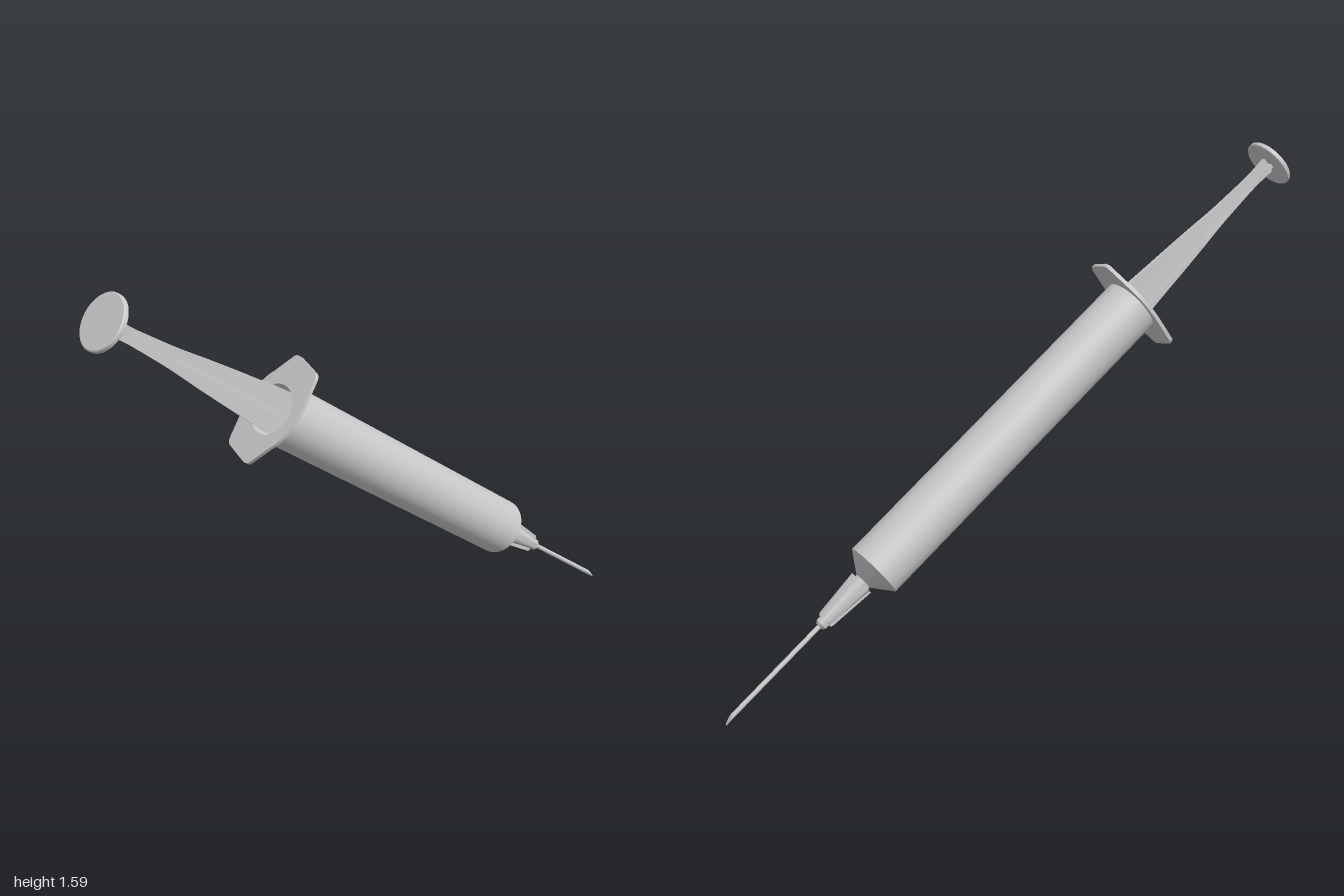
import * as THREE from 'three';
import { toCreasedNormals } from 'three/addons/utils/BufferGeometryUtils.js';

const V = (x, y) => new THREE.Vector2(x, y);
const material = new THREE.MeshStandardMaterial({ color: 0xcccccc, side: THREE.DoubleSide });

function part(name, geometry, parent) {
  const mesh = new THREE.Mesh(toCreasedNormals(geometry, 0.6), material);
  mesh.name = name;
  parent.add(mesh);
  return mesh;
}

// Turned part: profile of [radius, distance from the needle tip]
function turned(name, profile, parent, segments = 40) {
  return part(name, new THREE.LatheGeometry(profile.map(p => V(p[0], p[1])), segments), parent);
}

// Flat plate of given thickness, centred on its plane
function plate(shape, thickness, curveSegments = 12) {
  const g = new THREE.ExtrudeGeometry(shape, { depth: thickness, bevelEnabled: false, curveSegments });
  return g.translate(0, 0, -thickness / 2);
}

// Symmetric fin outline from [half width, distance] samples
function finShape(profile) {
  const right = new THREE.SplineCurve(profile.map(p => V(p[0], p[1]))).getPoints(36);
  return new THREE.Shape([...right, ...right.map(p => V(-p.x, p.y)).reverse()]);
}

export function createModel() {
  const model = new THREE.Group();
  model.name = 'syringe';
  // Everything is built along +Y from the needle tip, then tilted
  const body = new THREE.Group();
  body.name = 'syringeBody';
  body.position.set(1.004, 0.006, 0);
  body.rotation.z = THREE.MathUtils.degToRad(52.2);
  model.add(body);

  // Needle with a slanted tip
  const r = 0.0075;
  const needle = new THREE.CylinderGeometry(r, r, 0.42, 16).translate(0, 0.21, 0);
  const pos = needle.attributes.position;
  for (let i = 0; i < pos.count; i++) {
    if (pos.getY(i) < 0.01) pos.setY(i, (pos.getX(i) + r) / (2 * r) * 0.04);
  }
  part('needle', needle, body);

  // Needle hub: tapered core with four ribs
  const hub = new THREE.Group();
  hub.name = 'needleHub';
  body.add(hub);
  turned('hubCore', [[0, 0.395], [0.013, 0.395], [0.019, 0.403], [0.02, 0.43],
    [0.034, 0.575], [0, 0.575]], hub, 24);
  const rib = new THREE.Shape([V(0, 0.418), V(0.026, 0.418), V(0.03, 0.425), V(0.045, 0.575), V(0, 0.575)]);
  for (let i = 0; i < 4; i++) {
    part('hubRib', plate(rib, 0.011), hub).rotation.y = i * Math.PI / 2;
  }

  // Hollow barrel with conical nose
  turned('barrel', [[0, 0.56], [0.026, 0.56], [0.028, 0.582], [0.092, 0.628], [0.092, 1.797],
    [0.078, 1.797], [0.078, 0.65], [0, 0.62]], body, 48);

  // Finger flange: point-symmetric plate with a round opening
  const flange = new THREE.Shape();
  [1, -1].forEach((s, i) => {
    if (i === 0) flange.moveTo(0.166, -0.02);
    flange.quadraticCurveTo(s * 0.174, s * -0.01, s * 0.171, s * 0.005);
    flange.lineTo(s * 0.15, s * 0.085);
    flange.quadraticCurveTo(s * 0.145, s * 0.1, s * 0.125, s * 0.102);
    flange.lineTo(s * 0.05, s * 0.109);
    flange.bezierCurveTo(s * -0.02, s * 0.115, s * -0.07, s * 0.095, s * -0.1, s * 0.067);
    flange.lineTo(s * -0.166, s * 0.02);
  });
  flange.holes.push(new THREE.Path().absarc(0, 0, 0.078, 0, Math.PI * 2, true));
  part('fingerFlange', plate(flange, 0.012, 20).rotateX(Math.PI / 2).translate(0, 1.797, 0), body);

  // Plunger: crossed flaring fins, piston and thumb disc
  const plunger = new THREE.Group();
  plunger.name = 'plunger';
  body.add(plunger);
  const fin = finShape([[0.07, 0.72], [0.07, 1.2], [0.07, 1.65], [0.066, 1.8], [0.058, 1.9],
    [0.05, 2.0], [0.041, 2.1], [0.031, 2.2], [0.025, 2.3], [0.022, 2.38], [0.026, 2.458]]);
  for (let i = 0; i < 2; i++) {
    part('plungerFin', plate(fin, 0.014), plunger).rotation.y = i * Math.PI / 2;
  }
  turned('piston', [[0, 0.65], [0.077, 0.67], [0.077, 0.73], [0, 0.73]], plunger);
  turned('thumbDisc', [[0, 2.455], [0.081, 2.455], [0.084, 2.458], [0.084, 2.469],
    [0.081, 2.472], [0, 2.472]], plunger);

  return model;
}
